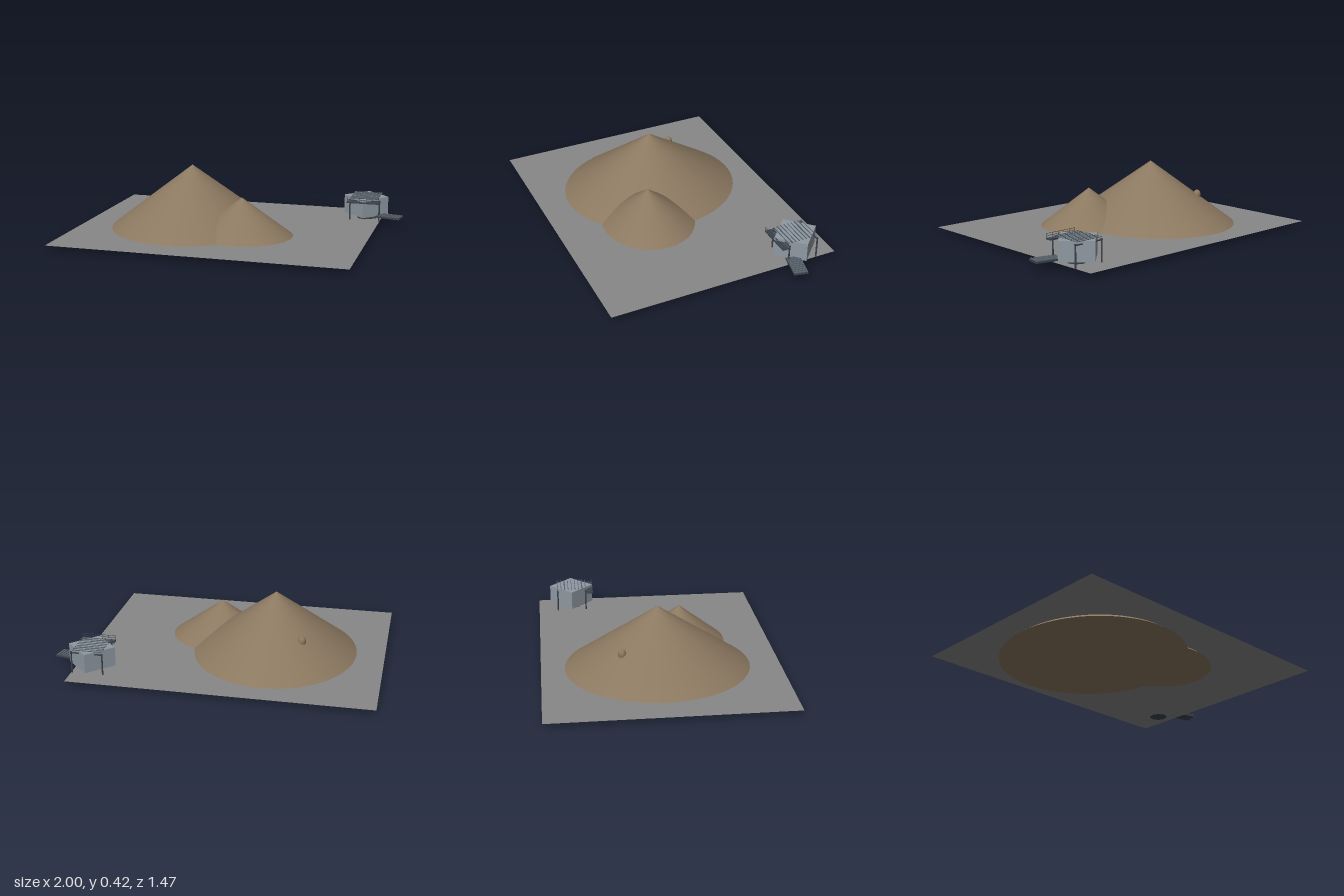
import * as THREE from 'three';

const mat = (color, extra = {}) => new THREE.MeshStandardMaterial({ color, ...extra });

export function createModel() {
  const root = new THREE.Group();
  const earth = mat(0x8b7860), wall = mat(0x8f99a3), dark = mat(0x3c434b), plate = mat(0x59626b);

  const add = (parent, name, geometry, material, x, y, z) => {
    const m = new THREE.Mesh(geometry, material);
    m.name = name;
    m.position.set(x, y, z);
    parent.add(m);
    return m;
  };
  const box = (parent, name, w, h, d, x, y, z, material = dark) =>
    add(parent, name, new THREE.BoxGeometry(w, h, d), material, x, y, z);

  // Thin ground sheet
  const ground = add(root, 'ground', new THREE.PlaneGeometry(1.848, 1.47),
    mat(0x888888, { side: THREE.DoubleSide }), -0.076, 0.028, 0);
  ground.rotation.x = -Math.PI / 2;

  // Two overlapping hills with elliptical bases
  const hill = (name, x, z, rx, rz, y0, h) => {
    const m = add(root, name, new THREE.ConeGeometry(1, 1, 96, 4), earth, x, y0 + h / 2, z);
    m.scale.set(rx, h, rz);
  };
  hill('largeHill', -0.31, -0.02, 0.55, 0.61, 0, 0.42);
  hill('smallHill', 0.07, 0.16, 0.35, 0.32, 0.005, 0.26);

  // Small rounded mound on the rear slope
  const mound = add(root, 'slopeMound', new THREE.SphereGeometry(0.024, 20, 14), earth, -0.507, 0.2, -0.252);
  mound.scale.set(1, 1.4, 1);

  // Raised cabin turned corner-on
  const cabin = new THREE.Group();
  cabin.name = 'cabin';
  cabin.position.set(0.743, 0, -0.51);
  root.add(cabin);
  box(cabin, 'cabinBody', 0.206, 0.121, 0.206, 0, 0.1135, 0, wall).rotation.y = Math.PI / 4;
  add(cabin, 'foundation', new THREE.CylinderGeometry(0.06, 0.06, 0.03, 8), dark, 0, 0.04, 0.01);

  // Corner posts and roof beams
  for (const x of [-0.093, 0.1]) {
    for (const z of [-0.095, 0.097]) {
      add(cabin, 'post', new THREE.CylinderGeometry(0.005, 0.005, 0.137, 8), dark, x, 0.0965, z);
      add(cabin, 'postCap', new THREE.CylinderGeometry(0.007, 0.007, 0.006, 8), dark, x, 0.162, z);
    }
  }
  for (const z of [-0.095, 0.097]) box(cabin, 'beam', 0.2, 0.007, 0.007, 0.003, 0.158, z);

  // Roof slats
  for (let i = 0; i < 9; i++) {
    const z = -0.095 + i * 0.024;
    const wide = i === 2 || i === 7;
    box(cabin, 'roofSlat', 0.185, 0.004, wide ? 0.008 : 0.004, 0, 0.176, z, plate);
  }

  // Front balcony and its rail
  box(cabin, 'balcony', 0.216, 0.008, 0.042, 0, 0.153, 0.126);
  for (let i = 0; i < 6; i++) {
    box(cabin, 'railPost', 0.002, 0.028, 0.002, -0.104 + i * 0.0416, 0.169, 0.145);
  }
  for (const y of [0.17, 0.183]) box(cabin, 'rail', 0.21, 0.002, 0.002, 0, y, 0.145);

  // Slatted landing leading away from the cabin
  const landing = new THREE.Group();
  landing.name = 'landing';
  landing.position.set(0.908, 0.058, -0.432);
  landing.rotation.y = -0.22;
  root.add(landing);
  box(landing, 'landingDeck', 0.165, 0.011, 0.088, 0, 0, 0);
  for (let i = 0; i < 9; i++) {
    box(landing, 'landingPlank', 0.012, 0.004, 0.086, -0.072 + i * 0.018, 0.007, 0, plate);
  }
  // Lower step under the landing
  box(root, 'step', 0.12, 0.012, 0.05, 0.76, 0.046, -0.46);

  return root;
}
